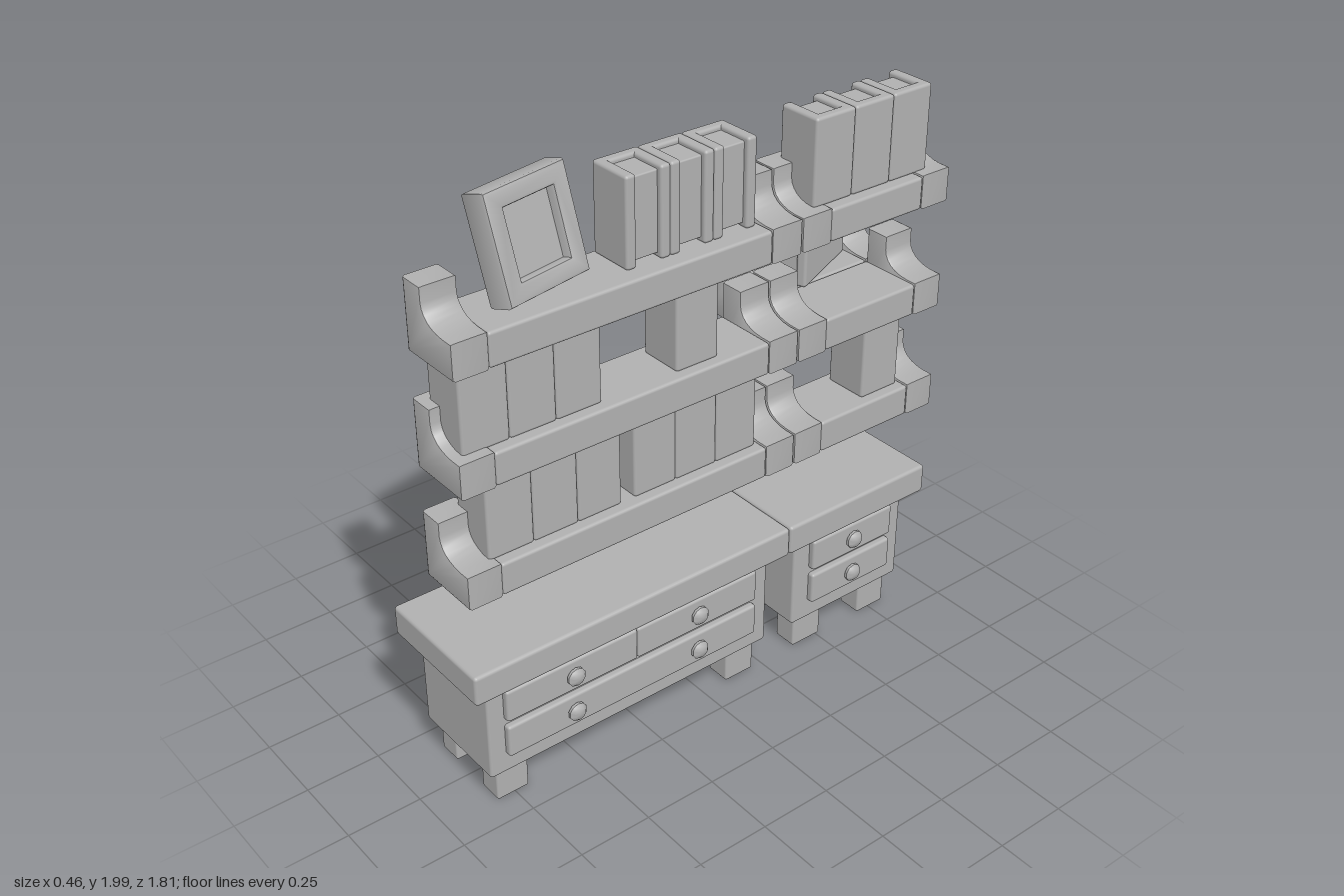
import * as THREE from 'three';
import { toCreasedNormals } from 'three/addons/utils/BufferGeometryUtils.js';
import { RoundedBoxGeometry } from 'three/addons/geometries/RoundedBoxGeometry.js';

const grey = new THREE.MeshStandardMaterial({ color: 0xb0b0b0 });
grey.name = 'plain grey';

function add(parent, name, geometry, x = 0, y = 0, z = 0) {
  const mesh = new THREE.Mesh(geometry, grey);
  mesh.name = name;
  mesh.position.set(x, y, z);
  parent.add(mesh);
  return mesh;
}

function group(parent, name) {
  const g = new THREE.Group();
  g.name = name;
  parent.add(g);
  return g;
}

// Soft-edged box given by its ranges on each axis
function box(parent, name, [x0, x1], [y0, y1], [z0, z1], r = 0.01) {
  const geo = new RoundedBoxGeometry(x1 - x0, y1 - y0, z1 - z0, 2, r);
  return add(parent, name, geo, (x0 + x1) / 2, (y0 + y1) / 2, (z0 + z1) / 2);
}

function lathe(profile, sides, crease, zScale = 1) {
  const geo = new THREE.LatheGeometry(profile.map(p => new THREE.Vector2(...p)), sides, Math.PI / sides);
  geo.scale(1, 1, zScale);
  return toCreasedNormals(geo, crease);
}

// Cabinet: thick top, body, four legs, drawers with knobs
function cabinet(parent, name, top, body, legs, drawers, knobZ) {
  const g = group(parent, name);
  box(g, 'cabinetTop', [-0.225, 0.222], [0.46, 0.565], top, 0.012);
  box(g, 'cabinetBody', [-0.185, 0.177], [0.12, 0.47], body);
  for (const z of legs)
    for (const x of [[-0.16, -0.075], [0.068, 0.155]])
      box(g, 'leg', x, [0, 0.13], z, 0.008);
  for (const [y, z] of drawers) box(g, 'drawer', [0.16, 0.2], y, z);
  const knob = lathe([[0, 0], [0.018, 0], [0.018, 0.012], [0.032, 0.018], [0.032, 0.027], [0.02, 0.038], [0, 0.04]], 10, 0.7);
  knob.rotateZ(-Math.PI / 2);
  for (const z of knobZ)
    for (const y of [0.247, 0.383]) add(g, 'knob', knob, 0.186, y, z);
}

// Bracket: solid end block with a hollowed front
function bracketGeometry(depth) {
  const s = new THREE.Shape();
  s.moveTo(0, 0);
  s.lineTo(0.222, 0);
  s.lineTo(0.222, 0.112);
  s.lineTo(0.18, 0.112);
  s.bezierCurveTo(0.12, 0.115, 0.088, 0.14, 0.085, 0.175);
  s.lineTo(0.085, 0.222);
  s.lineTo(0, 0.222);
  s.closePath();
  const b = 0.01;
  const geo = new THREE.ExtrudeGeometry(s, {
    depth: depth - 2 * b, bevelThickness: b, bevelSize: b, bevelOffset: -b, bevelSegments: 2, curveSegments: 6,
  });
  geo.translate(0, 0, b - depth / 2);
  return toCreasedNormals(geo, 0.7);
}
const bracket = bracketGeometry(0.117);

function shelf(parent, x, y, z0, z1) {
  const g = group(parent, 'shelf');
  box(g, 'plank', [x, x + 0.222], [y, y + 0.108], [z0 + 0.115, z1 - 0.115]);
  for (const z of [z0 + 0.0585, z1 - 0.0585]) add(g, 'bracket', bracket, x, y, z);
}

// Book: spine on +x, two covers and recessed pages, standing on its origin
const BOOK = { w: 0.155, h: 0.282, d: 0.155 };
function book(parent) {
  const g = group(parent, 'book');
  const { w, h, d } = BOOK, t = 0.035;
  box(g, 'spine', [d / 2 - t, d / 2], [0, h], [-w / 2, w / 2]);
  for (const s of [-1, 1]) {
    const a = s * w / 2, b = s * (w / 2 - t);
    box(g, 'cover', [-d / 2, d / 2 - 0.002], [0, h], [Math.min(a, b), Math.max(a, b)]);
  }
  box(g, 'pages', [-d / 2 + 0.018, d / 2 - 0.02], [0.015, h - 0.015], [-w / 2 + 0.02, w / 2 - 0.02], 0.005);
  return g;
}

function bookRow(parent, count, zStart, y, x = 0.108, turned = false) {
  for (let i = 0; i < count; i++) {
    const b = book(parent);
    b.position.set(x, y, zStart - BOOK.w * (i + 0.5));
    if (turned) b.rotation.y = Math.PI;
  }
}

// Picture frame leaning back, with a prop behind it
function pictureFrame(parent) {
  const g = group(parent, 'pictureFrame');
  const rect = (C, w, h) => {
    const p = new C();
    p.moveTo(-w / 2, -h / 2); p.lineTo(w / 2, -h / 2);
    p.lineTo(w / 2, h / 2); p.lineTo(-w / 2, h / 2);
    p.closePath();
    return p;
  };
  const s = rect(THREE.Shape, 0.305, 0.315);
  s.holes.push(rect(THREE.Path, 0.185, 0.2));
  const b = 0.012;
  const geo = new THREE.ExtrudeGeometry(s, {
    depth: 0.09 - 2 * b, bevelThickness: b, bevelSize: b, bevelOffset: -b, bevelSegments: 2,
  });
  geo.translate(0, 0, b - 0.045);
  geo.rotateY(Math.PI / 2);
  add(g, 'frameBorder', toCreasedNormals(geo, 0.6));
  add(g, 'framePicture', new THREE.BoxGeometry(0.05, 0.23, 0.22), -0.012);
  const prop = add(g, 'frameProp', new RoundedBoxGeometry(0.025, 0.2, 0.07, 1, 0.006), -0.068, -0.06, 0);
  prop.rotation.z = -0.3;
  g.rotation.order = 'YXZ';
  g.rotation.set(0, 0.2, 0.28);
  g.position.set(0.1, 1.828, 0.577);
}

// Faceted pot with two stubby cacti
function plant(parent) {
  const g = group(parent, 'pottedPlant');
  const pot = [[0, 0], [0.073, 0], [0.1, 0.115], [0.119, 0.12], [0.119, 0.17], [0.092, 0.17], [0.086, 0.135], [0, 0.135]];
  add(g, 'pot', lathe(pot, 8, 0.5, 1.4));
  const cactus = (h, x, z) => add(g, 'cactus',
    lathe([[0, 0], [0.028, 0], [0.037, 0.05], [0.037, h - 0.04], [0.026, h - 0.01], [0, h]], 6, 0.9, 1.3), x, 0.12, z);
  cactus(0.195, -0.027, -0.037);
  cactus(0.135, 0.03, 0.022);
  g.position.set(-0.11, 1.432, -0.61);
}

export function createModel() {
  const model = new THREE.Group();
  model.name = 'shelvesAndCabinets';

  const rows = [[0.19, 0.305], [0.325, 0.44]];
  cabinet(model, 'wideCabinet', [-0.3, 0.907], [-0.243, 0.847],
    [[0.7, 0.815], [-0.21, -0.095]],
    [[rows[0], [-0.18, 0.79]], [rows[1], [0.303, 0.79]], [rows[1], [-0.18, 0.303]]],
    [0.545, 0.063]);
  cabinet(model, 'narrowCabinet', [-0.907, -0.302], [-0.847, -0.363],
    [[-0.515, -0.393], [-0.815, -0.695]],
    rows.map(y => [y, [-0.785, -0.43]]),
    [-0.605]);

  // Three levels of shelves, with an extra one behind on the middle level
  for (const y of [0.81, 1.178, 1.545]) {
    shelf(model, 0, y, -0.301, 0.907);
    shelf(model, 0, y, -0.907, -0.302);
  }
  shelf(model, -0.225, 1.178, -0.907, -0.302);

  // Upright books
  bookRow(model, 3, 0.81, 0.915);
  bookRow(model, 3, 0.297, 0.915);
  bookRow(model, 1, -0.62, 0.915);
  bookRow(model, 3, 0.872, 1.283);
  bookRow(model, 1, 0.14, 1.283);
  bookRow(model, 3, 0.3, 1.652, 0.09, true);
  bookRow(model, 3, -0.373, 1.652);

  // Book lying under the pot
  const holder = group(model, 'lyingBook');
  const lying = book(holder);
  lying.rotation.x = Math.PI / 2;
  lying.position.set(0, 0, -BOOK.h / 2);
  holder.scale.set(1, 0.95, 1.07);
  holder.rotation.y = 0.41;
  holder.position.set(-0.105, 1.36, -0.61);

  plant(model);
  pictureFrame(model);
  return model;
}
